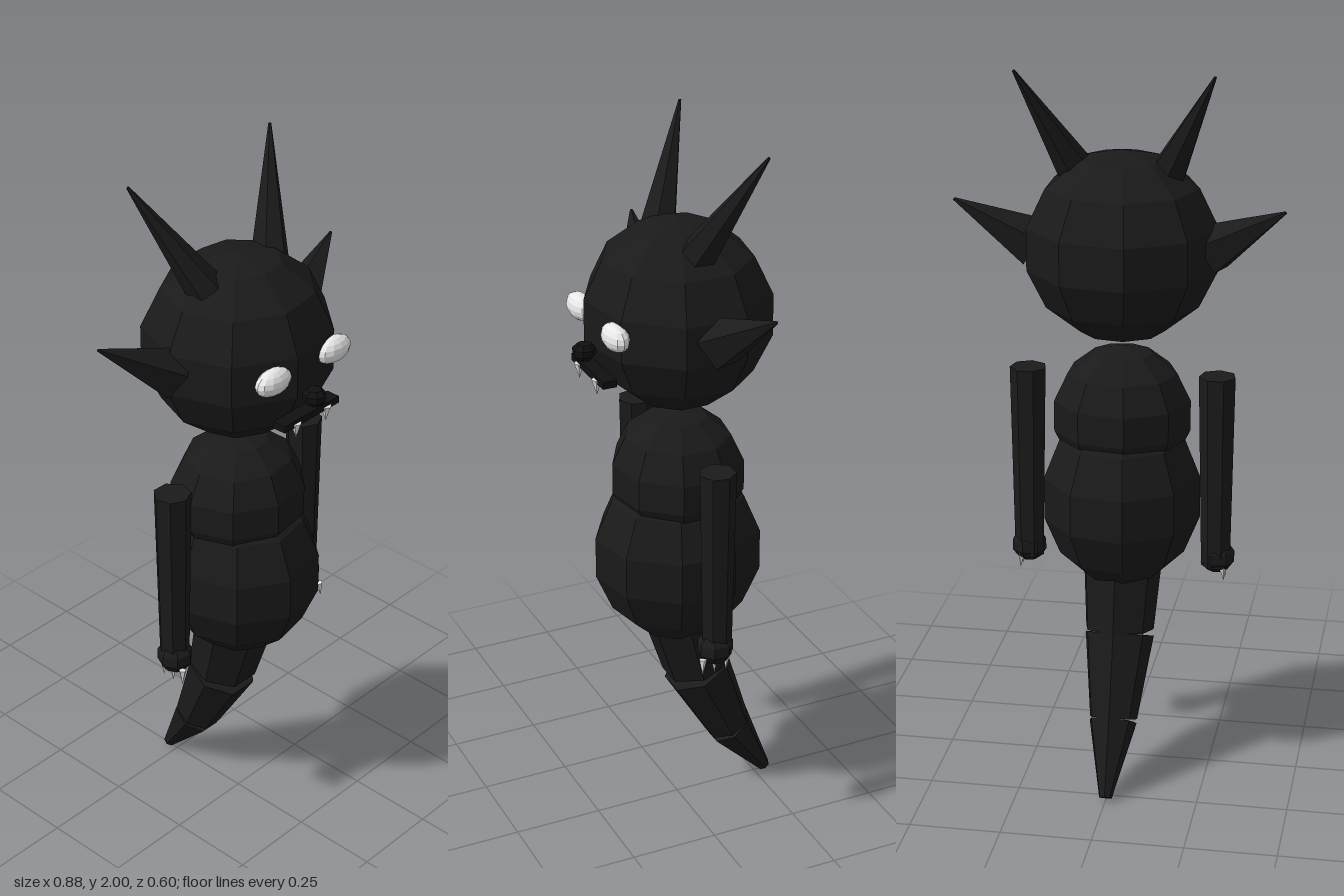
import * as THREE from 'three';

const mat = (name, color) => {
  const m = new THREE.MeshStandardMaterial({ color, flatShading: true });
  m.name = name;
  return m;
};

export function createModel() {
  const fur = mat('charcoal fur', 0x1a1a1a);
  const dark = mat('black nose and mouth', 0x101010);
  const white = mat('white', 0xf0f0f0);
  const model = new THREE.Group();
  model.name = 'hornedCreature';

  const add = (name, geometry, material, pos = [0, 0, 0], scale = [1, 1, 1]) => {
    const mesh = new THREE.Mesh(geometry, material);
    mesh.name = name;
    mesh.position.set(...pos);
    mesh.scale.set(...scale);
    model.add(mesh);
    return mesh;
  };
  // Faceted ellipsoid
  const ball = (name, material, pos, radii, w = 9, h = 7) =>
    add(name, new THREE.SphereGeometry(1, w, h), material, pos, radii);
  // Tapered limb from a to b; a zero end radius gives a spike
  const limb = (name, material, a, b, ra, rb, sides) => {
    const from = new THREE.Vector3(...a), to = new THREE.Vector3(...b);
    const dir = to.clone().sub(from);
    const mesh = add(name, new THREE.CylinderGeometry(rb, ra, dir.length(), sides), material);
    mesh.position.copy(from).add(to).multiplyScalar(0.5);
    mesh.quaternion.setFromUnitVectors(new THREE.Vector3(0, 1, 0), dir.normalize());
    return mesh;
  };

  // Head and torso
  ball('head', fur, [0, 1.515, 0], [0.265, 0.26, 0.258]);
  ball('chest', fur, [0, 1.045, 0], [0.193, 0.19, 0.185]);
  ball('belly', fur, [0, 0.81, 0], [0.222, 0.265, 0.238]);

  // Nose and mouth
  ball('nose', dark, [0, 1.45, 0.267], [0.032, 0.027, 0.034], 7, 5);
  add('mouth', new THREE.BoxGeometry(0.21, 0.02, 0.04), dark, [0, 1.392, 0.24]);

  for (const s of [-1, 1]) {
    const side = s > 0 ? 'left' : 'right';

    // Face details
    ball(side + 'Eye', white, [s * 0.115, 1.527, 0.228], [0.06, 0.036, 0.032], 12, 8);
    limb(side + 'Fang', white, [s * 0.058, 1.392, 0.257], [s * 0.058, 1.348, 0.257], 0.015, 0, 6);

    // Horns and ears
    limb(side + 'Horn', fur, [s * 0.12, 1.71, 0], [s * 0.26, 2, -0.13], 0.052, 0.004, 6);
    limb(side + 'Ear', fur, [s * 0.24, 1.515, -0.01], [s * 0.44, 1.64, -0.066], 0.072, 0.004, 5);

    // Arm, hand and claws
    limb(side + 'Arm', fur, [s * 0.26, 1.16, 0.005], [s * 0.262, 0.61, 0.005], 0.051, 0.041, 7);
    ball(side + 'Hand', fur, [s * 0.265, 0.637, 0.01], [0.05, 0.05, 0.052], 7, 5);
    for (const z of [-0.015, 0.02, 0.055]) {
      limb(side + 'Claw', white, [s * 0.282, 0.615, z], [s * 0.287, 0.57, z + 0.003], 0.011, 0, 5);
    }
  }

  // Tail in three tapering segments, curving backwards
  limb('tailBase', fur, [0, 0.64, -0.005], [0, 0.425, -0.06], 0.115, 0.098, 7);
  limb('tailMiddle', fur, [0, 0.41, -0.062], [0, 0.197, -0.16], 0.099, 0.068, 7);
  limb('tailTip', fur, [0, 0.19, -0.165], [0, 0.012, -0.283], 0.068, 0.018, 7);

  return model;
}
